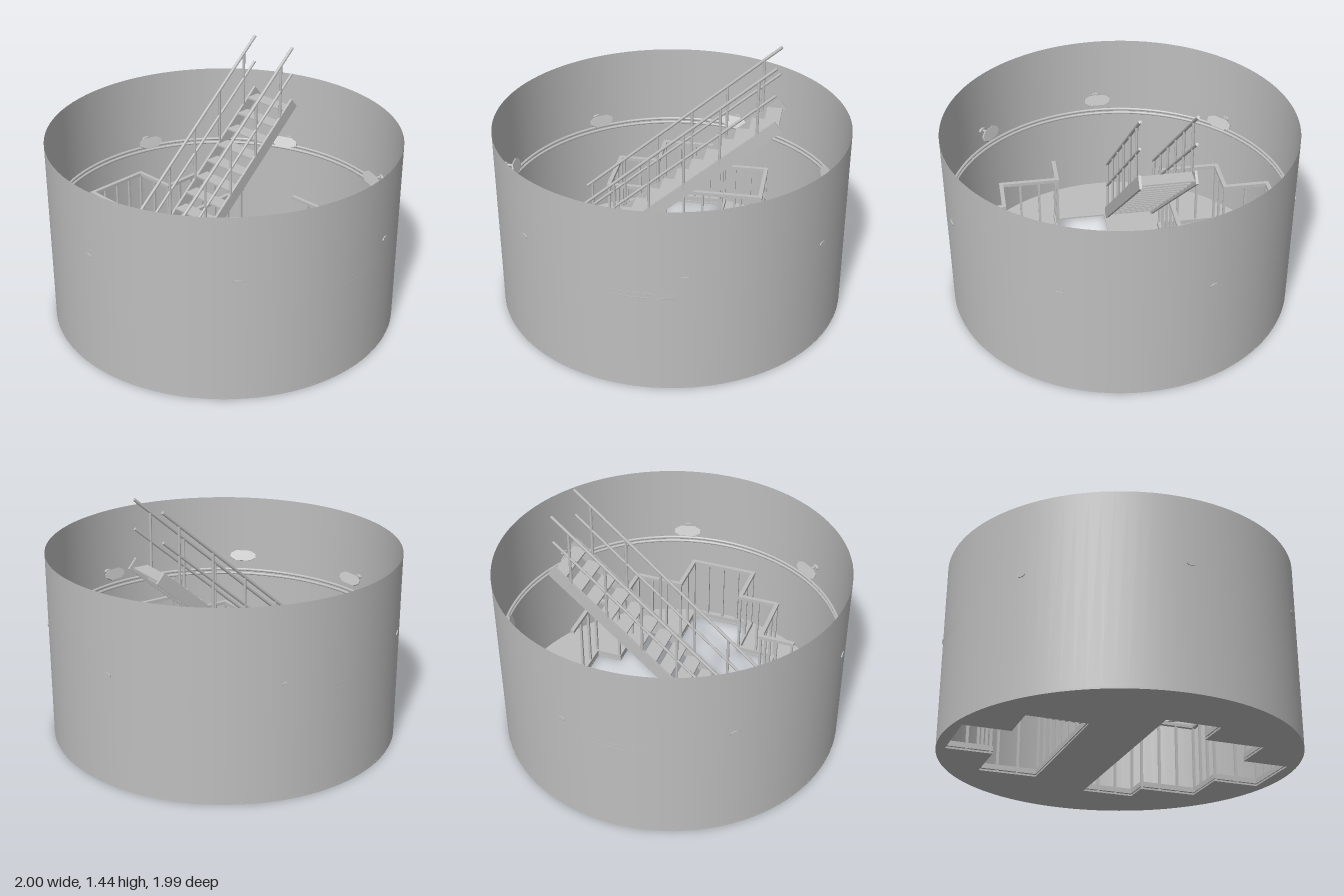
import * as THREE from 'three';

const steel = new THREE.MeshStandardMaterial({ color: 0xbebebe, side: THREE.DoubleSide });
steel.name = 'grey steel';

function add(parent, name, geometry) {
  const mesh = new THREE.Mesh(geometry, steel);
  mesh.name = name;
  parent.add(mesh);
  return mesh;
}

function group(parent, name) {
  const g = new THREE.Group();
  g.name = name;
  parent.add(g);
  return g;
}

// Straight bar from a to b, w wide and h high
function bar(parent, name, a, b, w, h = w) {
  const p = new THREE.Vector3(...a), q = new THREE.Vector3(...b);
  const mesh = add(parent, name, new THREE.BoxGeometry(w, h, p.distanceTo(q)));
  mesh.position.copy(p).lerp(q, 0.5);
  mesh.lookAt(q);
  return mesh;
}

// Round pipe from a to b
function pipe(parent, name, a, b, r) {
  const p = new THREE.Vector3(...a), q = new THREE.Vector3(...b);
  const mesh = add(parent, name, new THREE.CylinderGeometry(r, r, p.distanceTo(q), 10));
  mesh.position.copy(p).lerp(q, 0.5);
  mesh.quaternion.setFromUnitVectors(new THREE.Vector3(0, 1, 0), q.sub(p).normalize());
  return mesh;
}

// Guard rail with balusters along a floor path of [x, z] points
function guardRail(parent, name, path) {
  const g = group(parent, name);
  for (let i = 0; i < path.length - 1; i++) {
    const [x0, z0] = path[i], [x1, z1] = path[i + 1];
    const length = Math.hypot(x1 - x0, z1 - z0);
    const ex = (x1 - x0) / length * 0.012, ez = (z1 - z0) / length * 0.012;
    for (const [part, y, h] of [['topRail', 0.435, 0.02], ['toeRail', 0.03, 0.03]]) {
      bar(g, part, [x0 - ex, y, z0 - ez], [x1 + ex, y, z1 + ez], 0.024, h);
    }
    const n = Math.max(1, Math.round(length / 0.11));
    for (let k = 0; k < n; k++) {
      const t = k / n, x = x0 + (x1 - x0) * t, z = z0 + (z1 - z0) * t;
      bar(g, 'baluster', [x, 0.01, z], [x, 0.43, z], 0.014);
    }
  }
}

export function createModel() {
  const model = new THREE.Group();
  model.name = 'tankWithStairs';
  const R = 0.996, H = 1.08;

  // Round wall, open at the top
  add(model, 'wall', new THREE.CylinderGeometry(R, R, H, 96, 1, true)).position.y = H / 2;

  // Floor with two stepped openings
  const floor = new THREE.Shape().absarc(0, 0, R, 0, Math.PI * 2);
  const openings = [
    [[-0.2, -0.93], [0.175, -0.93], [0.175, -0.67], [0.47, -0.67], [0.47, -0.335],
      [-0.44, -0.335], [-0.44, -0.67], [-0.2, -0.67]],
    [[-0.63, 0.005], [0.62, 0.005], [0.62, 0.31], [0.465, 0.31], [0.465, 0.65], [0.175, 0.65],
      [0.175, 0.92], [-0.2, 0.92], [-0.2, 0.65], [-0.435, 0.65], [-0.435, 0.31], [-0.63, 0.31]],
  ];
  for (const o of openings) floor.holes.push(new THREE.Path(o.map(p => new THREE.Vector2(...p))));
  const slab = add(model, 'floor', new THREE.ExtrudeGeometry(floor,
    { depth: 0.01, bevelEnabled: false, curveSegments: 96 }));
  slab.rotation.x = Math.PI / 2;
  slab.position.y = 0.01;

  // Guard rails round the openings
  guardRail(model, 'backGuardRail', [[-0.21, -0.942], [0.187, -0.942], [0.187, -0.68],
    [0.48, -0.68], [0.48, -0.325], [-0.45, -0.325], [-0.45, -0.68], [-0.21, -0.68], [-0.21, -0.942]]);
  guardRail(model, 'frontGuardRail', [[-0.64, 0.32], [-0.447, 0.32], [-0.447, 0.662], [-0.212, 0.662],
    [-0.212, 0.932], [0.187, 0.932], [0.187, 0.662], [0.475, 0.662], [0.475, 0.32],
    [0.63, 0.32], [0.63, -0.01]]);

  // Staircase rising towards +x
  const stairs = group(model, 'stairs');
  const slope = 0.87;
  const edge = x => 1.11 + slope * (x - 0.57);   // upper edge of the stringers
  const stringer = new THREE.Shape([[-0.63, 0.01], [-0.63, edge(-0.63)], [0.57, 1.11],
    [0.615, 1.055], [-0.59, 0.01]].map(p => new THREE.Vector2(...p)));
  for (const z of [-0.305, -0.01]) {
    const side = add(stairs, 'stringer', new THREE.ExtrudeGeometry(stringer,
      { depth: 0.014, bevelEnabled: false }));
    side.position.z = z - 0.007;
    // Sloping handrail, middle rail and posts
    for (const [part, up, r] of [['handrail', 0.32, 0.009], ['middleRail', 0.16, 0.008]]) {
      pipe(stairs, part, [-0.58, edge(-0.58) + up, z], [0.57, edge(0.57) + up, z], r);
    }
    for (let i = 0; i < 6; i++) {
      const x = 0.475 - i * 0.205;
      pipe(stairs, 'railPost', [x, edge(x) - 0.04, z], [x, edge(x) + 0.32, z], 0.008);
    }
  }
  for (let i = 0; i < 14; i++) {
    const x = -0.58 + i * 0.0866;
    add(stairs, 'tread', new THREE.BoxGeometry(0.0866, 0.01, 0.284))
      .position.set(x, edge(x) - 0.035, -0.1575);
  }

  // Double pipe running round the wall
  for (const y of [0.572, 0.598]) {
    const ring = add(model, 'ringPipe', new THREE.TorusGeometry(0.988, 0.009, 8, 96));
    ring.rotation.x = Math.PI / 2;
    ring.scale.x = 0.987;
    ring.position.y = y;
  }

  // Seven lamps on stems through the wall
  const plate = new THREE.Shape([[-0.08, -0.012], [-0.045, -0.032], [0.045, -0.032], [0.08, -0.012],
    [0.08, 0.012], [0.045, 0.032], [-0.045, 0.032], [-0.08, 0.012]].map(p => new THREE.Vector2(...p)));
  const lamps = [[27, 0.65], [76, 0.69], [131, 0.715], [180, 0.7], [231, 0.67], [285, 0.655], [340, 0.64]];
  for (const [deg, y] of lamps) {
    const lamp = group(model, 'lamp');
    lamp.rotation.y = Math.PI / 2 - deg * Math.PI / 180;
    lamp.position.y = y;
    pipe(lamp, 'stem', [0, 0, 0.925], [0, 0, 0.985], 0.008);
    const cap = pipe(lamp, 'wallPlug', [0, 0, 0.98], [0, 0, 1.001], 0.014);
    cap.scale.x = 1.9;
    const face = add(lamp, 'lampPlate', new THREE.ExtrudeGeometry(plate, { depth: 0.01, bevelEnabled: false }));
    face.position.z = 0.92;
    face.rotation.set(0.45, 0.12, 0);
  }
  return model;
}
